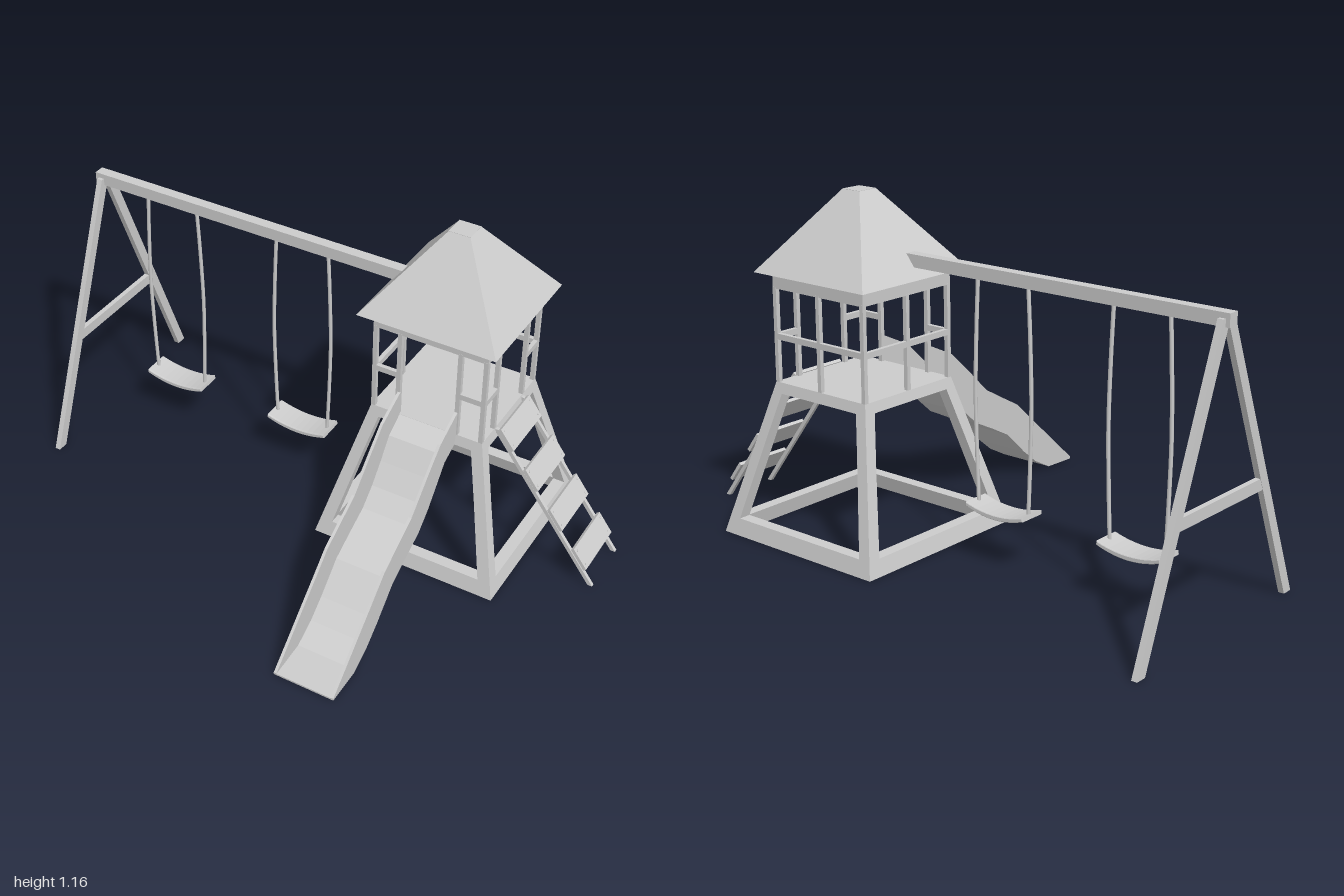
import * as THREE from 'three';

const CX = 0.396, CZ = -0.307;   // tower centre
const mat = new THREE.MeshStandardMaterial({ color: 0xcccccc, flatShading: true, side: THREE.DoubleSide });
const smooth = new THREE.MeshStandardMaterial({ color: 0xcccccc });

function add(parent, name, geometry, x = 0, y = 0, z = 0, material = mat) {
  const mesh = new THREE.Mesh(geometry, material);
  mesh.name = name;
  mesh.position.set(x, y, z);
  parent.add(mesh);
  return mesh;
}

// Box given by its extents
function box(parent, name, x0, x1, y0, y1, z0, z1) {
  return add(parent, name, new THREE.BoxGeometry(x1 - x0, y1 - y0, z1 - z0),
    (x0 + x1) / 2, (y0 + y1) / 2, (z0 + z1) / 2);
}

// Leaning post with level ends: section w by d, from point a (low) to b (high)
function lean(parent, name, a, b, w, d) {
  const g = new THREE.BoxGeometry(w, 1, d), p = g.attributes.position;
  for (let i = 0; i < p.count; i++) {
    const t = p.getY(i) + 0.5;
    p.setXYZ(i, p.getX(i) + a[0] + (b[0] - a[0]) * t, a[1] + (b[1] - a[1]) * t, p.getZ(i) + a[2] + (b[2] - a[2]) * t);
  }
  g.computeVertexNormals();
  return add(parent, name, g);
}

const polygon = pts => new THREE.Shape(pts.map(([x, y]) => new THREE.Vector2(x, y)));

function group(parent, name) {
  const g = new THREE.Group();
  g.name = name;
  parent.add(g);
  return g;
}

function buildTower(root) {
  const tower = group(root, 'tower');
  tower.position.set(CX, 0, CZ);
  const bottom = 0.337, top = 0.203, deckY = 0.52, depth = 0.042;
  const slope = (bottom - top) / deckY;
  const half = y => bottom - slope * y;

  // Four leaning trapezoid frames form the base
  for (let i = 0; i < 4; i++) {
    const shape = polygon([[-bottom, 0], [bottom, 0], [top, deckY], [-top, deckY]]);
    const a = half(0.055) - 0.045, b = half(0.485) - 0.04;
    shape.holes.push(polygon([[-a, 0.055], [-b, 0.485], [b, 0.485], [a, 0.055]]));
    const g = new THREE.ExtrudeGeometry(shape, { depth, bevelEnabled: false });
    const p = g.attributes.position;
    for (let k = 0; k < p.count; k++) p.setZ(k, p.getZ(k) - depth + half(p.getY(k)));
    g.computeVertexNormals();
    add(tower, 'baseFrame', g).rotation.y = i * Math.PI / 2;
  }
  box(tower, 'deck', -top, top, 0.49, deckY, -top, top);

  // Railings: front (0) and left (1) sides have a gap, the other two a middle post
  const r = 0.196, t = 0.0075;
  for (let i = 0; i < 4; i++) {
    const side = group(tower, 'railing');
    side.rotation.y = i * Math.PI / 2;
    const post = x => box(side, 'post', x - t, x + t, deckY, 0.84, r - t, r + t);
    const rail = (x0, x1) => box(side, 'rail', x0, x1, 0.665, 0.685, r - t, r + t);
    post(-r);
    if (i < 2) {
      post(-0.107);
      post(0.107);
      rail(-r, -0.107);
      rail(0.107, r);
    } else {
      post(0);
      rail(-r, r);
    }
    box(side, 'topBeam', -top, top, 0.835, 0.892, top - 0.016, top);
  }

  // Hollow four-sided roof with a small flat cap
  const s = Math.SQRT2;
  const roof = new THREE.CylinderGeometry(0.038 * s, 0.245 * s, 0.267, 4, 1, true);
  roof.rotateY(Math.PI / 4);
  add(tower, 'roof', roof, 0, 1.0225, 0);
  box(tower, 'roofCap', -0.038, 0.038, 1.15, 1.157, -0.038, 0.038);
}

function buildSlide(root) {
  const slide = group(root, 'slide');
  const upper = [[-0.105, 0.61], [0.01, 0.555], [0.1, 0.472], [0.19, 0.385], [0.275, 0.337], [0.36, 0.29],
    [0.44, 0.217], [0.51, 0.155], [0.59, 0.083], [0.675, 0.008]];
  const lower = [[-0.105, 0.487], [-0.03, 0.455], [0.02, 0.395], [0.075, 0.33], [0.135, 0.277], [0.22, 0.235],
    [0.305, 0.19], [0.4, 0.1], [0.465, 0.047], [0.545, 0.004], [0.675, 0.0]];
  const bedTop = lower.map(([z, y]) => [z - 0.003, y + 0.012]);
  bedTop[0] = [-0.105, 0.52];
  bedTop[1] = [-0.035, 0.478];
  bedTop[10] = [0.675, 0.006];
  // Profiles are drawn in z and y, then turned to run across x
  const across = (name, pts, x0, x1) => {
    const g = new THREE.ExtrudeGeometry(polygon(pts), { depth: x1 - x0, bevelEnabled: false });
    g.rotateY(-Math.PI / 2);
    const mesh = add(slide, name, g, x1, 0, 0);
    return mesh;
  };
  const wall = [...lower, ...[...upper].reverse()];
  across('slideWall', wall, 0.289, 0.299);
  across('slideWall', wall, 0.496, 0.506);
  across('slideBed', [...lower, ...bedTop.reverse()], 0.299, 0.496);
}

function buildLadder(root) {
  const ladder = group(root, 'ladder');
  for (const z of [-0.207, -0.403]) lean(ladder, 'ladderRail', [0.987, 0.003, z], [0.602, 0.515, z], 0.017, 0.013);
  // Flat treads lie along the slope
  const angle = Math.atan2(0.512, -0.385);
  for (let i = 0; i < 4; i++) {
    const tread = add(ladder, 'tread', new THREE.BoxGeometry(0.085, 0.012, 0.216),
      0.643 + i * 0.0985, 0.486 - i * 0.1285, -0.304);
    tread.rotation.z = angle;
    // Bolt heads on the outer face
    for (const z of [-0.095, 0.095]) for (const x of [-0.028, 0.028])
      add(tread, 'bolt', new THREE.CylinderGeometry(0.003, 0.003, 0.003, 8), x, -0.0065, z);
  }
}

function buildSwings(root) {
  const swings = group(root, 'swingSet');
  const z0 = -0.27;
  box(swings, 'crossBeam', -1, 0.215, 0.925, 0.967, z0 - 0.019, z0 + 0.019);

  // A-frame with crossbar at the far end
  for (const s of [-1, 1]) lean(swings, 'frameLeg', [-0.976, 0, z0 + s * 0.387], [-0.976, 0.95, z0 + s * 0.012], 0.02, 0.038);
  box(swings, 'frameCrossbar', -0.985, -0.967, 0.382, 0.42, z0 - 0.225, z0 + 0.225);

  for (const x of [-0.692, -0.172]) {
    const swing = group(swings, 'swing');
    swing.position.set(x, 0, z0);
    // Sagging seat
    const seat = new THREE.Shape();
    seat.moveTo(-0.118, 0.186);
    seat.quadraticCurveTo(0, 0.143, 0.118, 0.186);
    seat.lineTo(0.116, 0.2);
    seat.quadraticCurveTo(0, 0.163, -0.116, 0.2);
    seat.closePath();
    add(swing, 'seat', new THREE.ExtrudeGeometry(seat, {
      depth: 0.088, curveSegments: 10, bevelThickness: 0.006, bevelSize: 0.003, bevelOffset: -0.003, bevelSegments: 2,
    }), 0, 0, -0.044);
    // Gently bowed ropes
    for (const s of [-1, 1]) {
      const path = new THREE.CatmullRomCurve3([[0.1, 0.935], [0.108, 0.76], [0.113, 0.56], [0.109, 0.37], [0.102, 0.19]]
        .map(([px, y]) => new THREE.Vector3(s * px, y, 0)));
      add(swing, 'rope', new THREE.TubeGeometry(path, 20, 0.0065, 8), 0, 0, 0, smooth);
    }
  }
}

export function createModel() {
  const model = new THREE.Group();
  model.name = 'playground';
  buildTower(model);
  buildSlide(model);
  buildLadder(model);
  buildSwings(model);
  return model;
}
